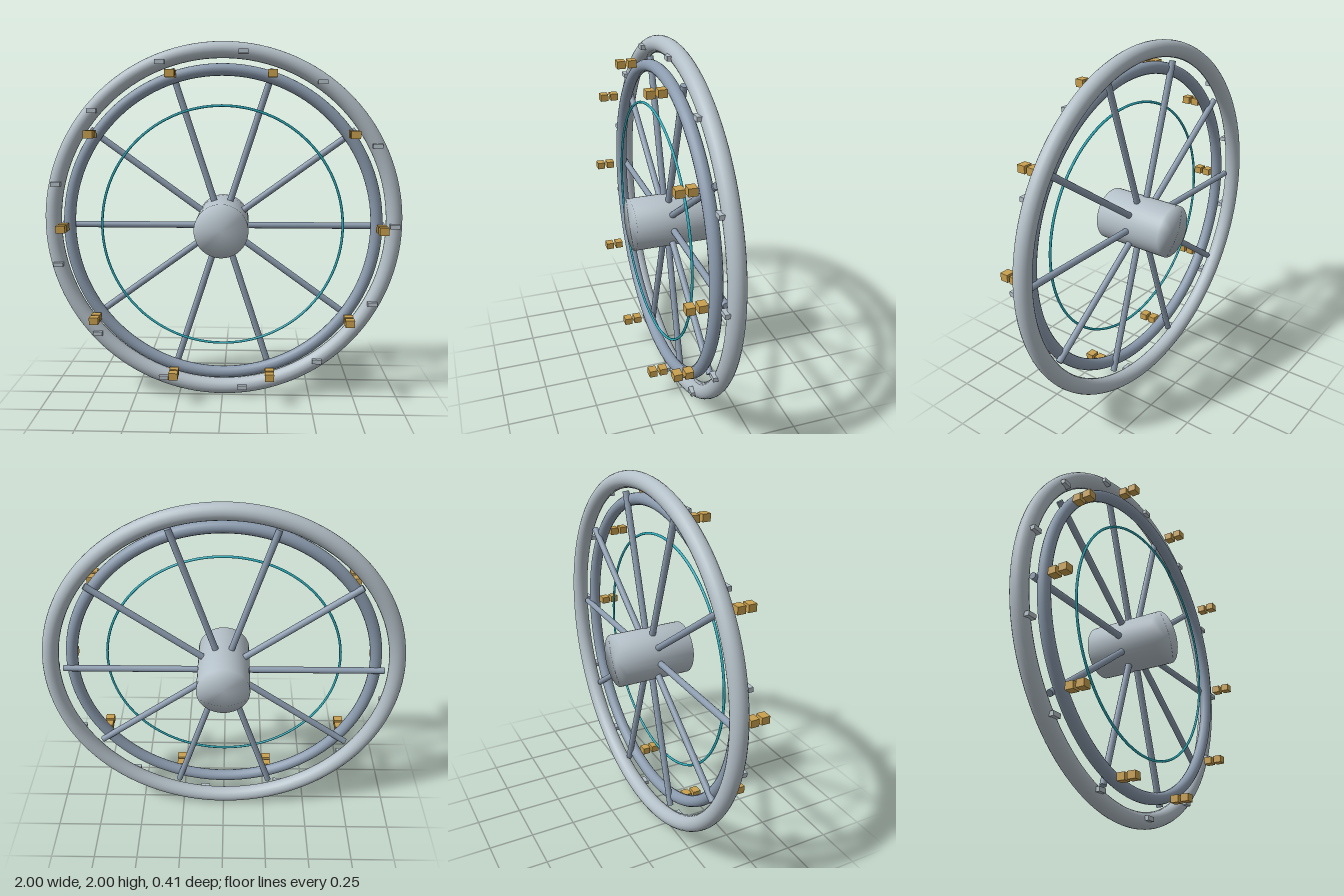
import * as THREE from 'three';
import { mergeVertices } from 'three/addons/utils/BufferGeometryUtils.js';

const material = (name, color) => {
  const m = new THREE.MeshStandardMaterial({ color });
  m.name = name;
  return m;
};

export function createModel() {
  const paleGrey = material('pale grey', 0xb4c0c8);
  const steelBlue = material('steel blue', 0x8c9caf);
  const teal = material('teal', 0x2aafbf);
  const gold = material('gold', 0xc9a04e);

  const model = new THREE.Group();
  model.name = 'ringStation';
  const wheel = new THREE.Group();
  wheel.name = 'wheel';
  wheel.position.y = 1;
  model.add(wheel);

  const add = (name, geometry, mat, x = 0, y = 0, z = 0) => {
    const mesh = new THREE.Mesh(geometry, mat);
    mesh.name = name;
    mesh.position.set(x, y, z);
    wheel.add(mesh);
    return mesh;
  };

  // Calls place(x, y, angle) at even steps around a circle
  const around = (count, radius, place) => {
    for (let i = 0; i < count; i++) {
      const a = (i / count) * Math.PI * 2;
      place(Math.cos(a) * radius, Math.sin(a) * radius, a);
    }
  };

  // Concentric rings
  add('outerRing', new THREE.TorusGeometry(0.955, 0.045, 20, 120), paleGrey, 0, 0, -0.025);
  add('innerRing', new THREE.TorusGeometry(0.848, 0.033, 16, 120), steelBlue, 0, 0, 0.033);
  add('lightRing', new THREE.TorusGeometry(0.658, 0.007, 8, 120), teal, 0, 0, 0.081);

  // Hub with normals shared between side and caps, for soft-looking ends
  let hub = new THREE.CylinderGeometry(0.146, 0.146, 0.41, 40);
  hub.deleteAttribute('normal');
  hub.deleteAttribute('uv');
  hub = mergeVertices(hub);
  hub.computeVertexNormals();
  hub.rotateX(Math.PI / 2);
  add('hub', hub, paleGrey);

  // Spokes from the hub to just past the inner ring
  const spoke = new THREE.CylinderGeometry(0.018, 0.018, 0.79, 12);
  around(10, 0.5, (x, y, a) => {
    add('spoke', spoke, steelBlue, x, y, 0).rotation.z = a - Math.PI / 2;
  });

  // Paired pods in front of each spoke end
  const pod = new THREE.BoxGeometry(0.05, 0.04, 0.045);
  around(10, 0.866, (x, y) => {
    for (const z of [0.108, 0.168]) add('pod', pod, gold, x, y, z);
  });

  // Small blocks on the face of the outer ring
  const block = new THREE.BoxGeometry(0.053, 0.024, 0.03);
  around(13, 0.951, (x, y) => add('ringBlock', block, paleGrey, x, y, 0.025));

  return model;
}
